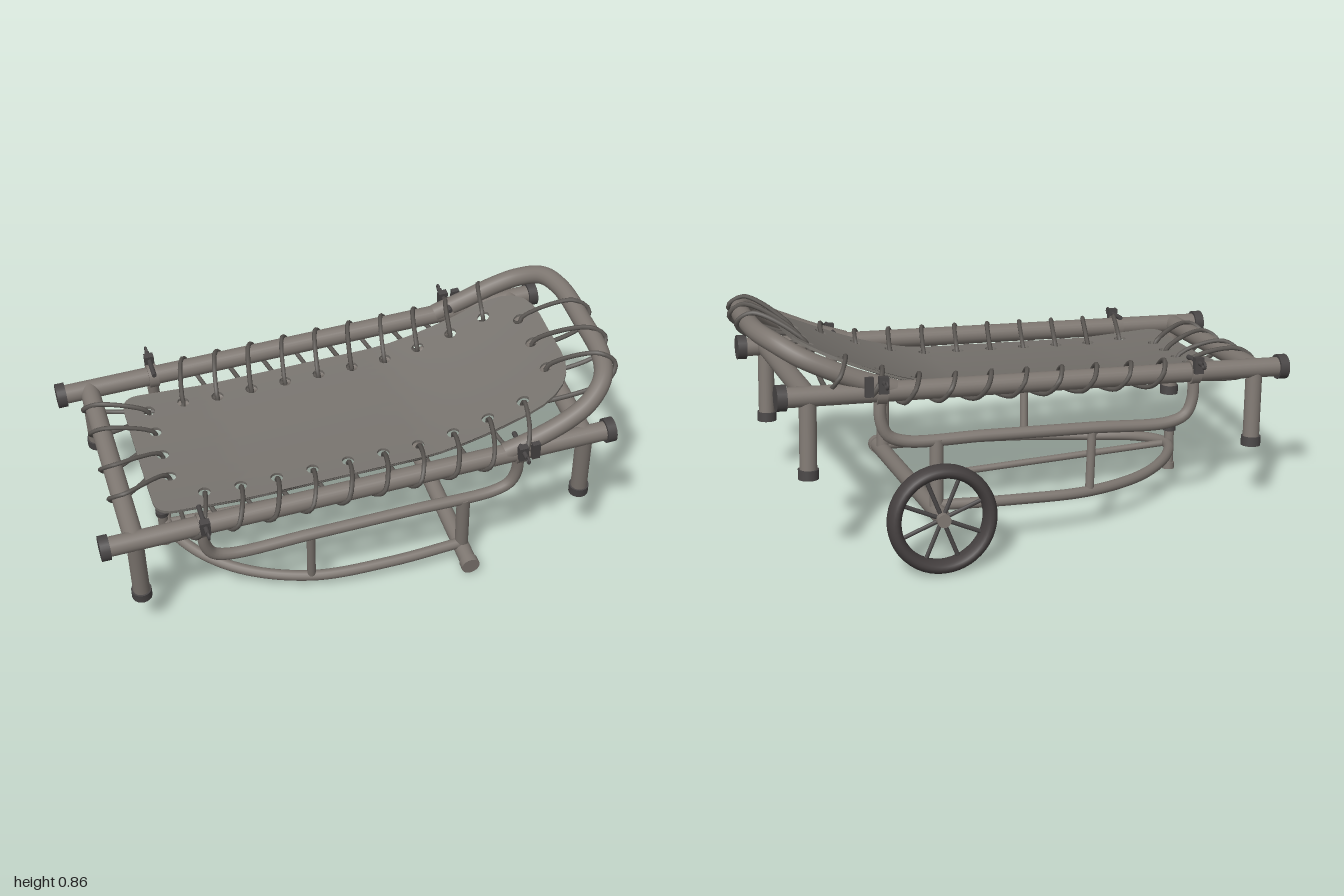
import * as THREE from 'three';

const V = (x, y, z) => new THREE.Vector3(x, y, z);
const material = (name, color) => Object.assign(new THREE.MeshStandardMaterial({ color }), { name });
const SIDE = 0.397, HANG = -0.185, FOOT = -0.835, HEAD = 0.848;

// height of the raised head-end tube and of the canvas along the bed
const armY = x => 0.187 * Math.pow(Math.max(0, (x - 0.5) / 0.48), 1.3);
const sheetY = (x, z) => -0.036 + 0.185 * Math.pow(Math.max(0, (x - 0.25) / 0.6), 1.6)
  + 0.025 * Math.max(0, (-0.4 - x) / 0.33) + 0.012 * (z / 0.3) ** 2;

// lacing stations in order round the canvas: hole, bar beside it, travel and outward directions
function lacingStations() {
  const list = [];
  const add = (x, z, bar, t, o) => list.push({ hole: V(x, sheetY(x, z), z), bar, t, o });
  const sideBar = (x, s) => x > 0.58 ? V(x, armY(x), 0.392 * s) : V(x, 0, SIDE * s);
  for (let k = 0; k < 10; k++) {
    const x = -0.51 + 0.1325 * k;
    add(x, -0.235, sideBar(x + 0.03, -1), V(1, 0, 0), V(0, 0, -1));
  }
  for (const [z, x, barZ] of [[-0.138, 0.985, -0.07], [-0.005, 0.985, 0.09], [0.14, 0.965, 0.23]]) {
    add(0.79, z, V(x, 0.187, barZ), V(0, 0, 1), V(1, 0, 0));
  }
  for (let k = 9; k >= 0; k--) {
    const x = -0.545 + 0.1345 * k;
    add(x, 0.235, sideBar(x - 0.03, 1), V(-1, 0, 0), V(0, 0, 1));
  }
  for (const [z, barZ] of [[0.125, 0.21], [0.01, 0.06], [-0.11, -0.13], [-0.22, -0.26]]) {
    add(-0.645, z, V(FOOT, 0, barZ), V(0, 0, -1), V(-1, 0, 0));
  }
  return list;
}

// split long triangle edges so a flat plate can be bent smoothly
function subdivide(geometry, max) {
  const p = geometry.attributes.position, out = [];
  const split = (a, b, c) => {
    const ab = a.distanceTo(b), bc = b.distanceTo(c), ca = c.distanceTo(a);
    const longest = Math.max(ab, bc, ca);
    if (longest <= max) out.push([a, b, c]);
    else if (ab === longest) {
      const mid = a.clone().add(b).multiplyScalar(0.5);
      split(a, mid, c);
      split(mid, b, c);
    } else if (bc === longest) split(b, c, a);
    else split(c, a, b);
  };
  const at = i => new THREE.Vector3().fromBufferAttribute(p, i);
  for (let i = 0; i < p.count; i += 3) split(at(i), at(i + 1), at(i + 2));
  return out;
}

function sheetGeometry(stations) {
  const x0 = -0.735, x1 = 0.86, w = 0.305, a = 0.07, b = 0.2, thick = 0.012;
  const shape = new THREE.Shape();
  shape.moveTo(x0 + a, -w);
  shape.lineTo(x1 - b, -w);
  shape.quadraticCurveTo(x1, -w, x1, -w + b);
  shape.lineTo(x1, w - b);
  shape.quadraticCurveTo(x1, w, x1 - b, w);
  shape.lineTo(x0 + a, w);
  shape.quadraticCurveTo(x0, w, x0, w - a);
  shape.lineTo(x0, -w + a);
  shape.quadraticCurveTo(x0, -w, x0 + a, -w);
  for (const { hole } of stations) {
    shape.holes.push(new THREE.Path().absarc(hole.x, -hole.z, 0.023, 0, Math.PI * 2, true));
  }
  const flat = new THREE.ExtrudeGeometry(shape, { depth: thick, bevelEnabled: false, curveSegments: 6 });
  flat.rotateX(-Math.PI / 2);
  // bend the plate; faces take the slope of the curve, rims keep their own normal
  const points = [], normals = [], e = 0.01;
  for (const tri of subdivide(flat, 0.09)) {
    const ys = tri.map(v => v.y);
    const rim = Math.max(...ys) - Math.min(...ys) > thick / 4;
    const rimNormal = new THREE.Triangle(...tri).getNormal(V(0, 0, 0));
    for (const { x, y, z } of tri) {
      points.push(V(x, y + sheetY(x, z) - thick / 2, z));
      const slope = V(sheetY(x - e, z) - sheetY(x + e, z), 2 * e, sheetY(x, z - e) - sheetY(x, z + e)).normalize();
      normals.push(...(rim ? rimNormal : slope.multiplyScalar(y > thick / 2 ? 1 : -1)));
    }
  }
  const g = new THREE.BufferGeometry().setFromPoints(points);
  return g.setAttribute('normal', new THREE.Float32BufferAttribute(normals, 3));
}

export function createModel() {
  const metal = material('tube metal', 0x7d7670);
  const canvas = material('canvas', 0x76726d);
  const cord = material('cord', 0x5b5753);
  const dark = material('dark caps', 0x484545);
  const rubber = material('tyre rubber', 0x443f3f);

  const model = new THREE.Group();
  model.name = 'stretcherCart';
  const body = new THREE.Group();
  body.name = 'tiltedCart';
  model.add(body);

  const add = (name, geometry, mat) => {
    const mesh = new THREE.Mesh(geometry, mat);
    mesh.name = name;
    body.add(mesh);
    return mesh;
  };
  const rod = (name, a, b, r, mat = metal, sides = 20) => {
    const d = b.clone().sub(a);
    const mesh = add(name, new THREE.CylinderGeometry(r, r, d.length(), sides), mat);
    mesh.position.copy(a).addScaledVector(d, 0.5);
    mesh.quaternion.setFromUnitVectors(V(0, 1, 0), d.normalize());
  };
  const tube = (name, pts, r, mat = metal, segments = 80, sides = 14, closed = false) =>
    add(name, new THREE.TubeGeometry(new THREE.CatmullRomCurve3(pts, closed), segments, r, sides, closed), mat);

  for (const s of [-1, 1]) {
    const z = SIDE * s;
    // long rails with end caps
    rod('sideRail', V(-0.94, 0, z), V(0.94, 0, z), 0.036);
    for (const e of [-1, 1]) {
      rod('railCap', V(0.925 * e, 0, z), V(0.96 * e, 0, z), 0.046, dark, 24);
      // legs with feet
      const legX = e < 0 ? FOOT : HEAD;
      rod('leg', V(legX, 0, z), V(legX, -0.28, z), 0.031);
      rod('legFoot', V(legX, -0.26, z), V(legX, -0.295, z), 0.037, dark);
      // clamps holding the hanging tube, with a cross bolt and eye
      const x = 0.59 * e;
      rod('clampRing', V(x - 0.018, 0, z), V(x + 0.018, 0, z), 0.044);
      rod('clampBolt', V(x, 0.045, z - 0.05 * s), V(x, 0.045, z + 0.085 * s), 0.009, dark, 10);
      const eye = add('boltEye', new THREE.TorusGeometry(0.011, 0.005, 8, 16), dark);
      eye.rotation.y = Math.PI / 2;
      eye.position.set(x, 0.045, z + 0.095 * s);
      const lug = add('clampLug', new THREE.BoxGeometry(0.035, 0.06, 0.025), dark);
      lug.position.set(x, 0.035, z + 0.045 * s);
    }
    // hanging tube below each rail
    tube('hangingTube', [V(-0.59, 0, z), V(-0.59, -0.1, z), V(-0.565, -0.158, z), V(-0.5, HANG, z),
      V(-0.2, HANG, z), V(0.2, HANG, z), V(0.5, HANG, z), V(0.565, -0.158, z), V(0.59, -0.1, z), V(0.59, 0, z)], 0.022);
    // posts down to the undercarriage
    rod('axlePost', V(0.386, HANG, z), V(0.386, -0.453, z), 0.025);
    rod('middlePost', V(-0.2, HANG, z), V(-0.2, -0.425, 0.385 * s), 0.016);
    // hinge of the head frame
    const hinge = add('headHinge', new THREE.BoxGeometry(0.03, 0.07, 0.02), dark);
    hinge.position.set(0.64, 0.03, z + 0.042 * s);
  }

  // crossbars
  for (const x of [FOOT, HEAD]) rod('crossbar', V(x, 0, -SIDE), V(x, 0, SIDE), 0.036);

  // raised head frame
  const arm = s => [[0.54, 0.395], [0.66, 0.395], [0.78, 0.388], [0.87, 0.363]]
    .map(([x, z]) => V(x, armY(x), z * s))
    .concat([V(0.943, 0.174, 0.302 * s), V(0.978, 0.187, 0.2 * s)]);
  tube('headFrame', [...arm(-1), V(0.985, 0.188, 0), ...arm(1).reverse()], 0.035, metal, 120, 18);

  // canvas and lacing cord
  const stations = lacingStations();
  add('canvasSheet', sheetGeometry(stations), canvas);
  const cordPath = [];
  for (const { hole, bar, t, o } of stations) {
    const wrap = (out, up, along) => bar.clone().addScaledVector(o, out).addScaledVector(t, along).add(V(0, up, 0));
    cordPath.push(hole.clone().add(V(0, -0.016, 0)), hole.clone().addScaledVector(o, 0.015).add(V(0, 0.016, 0)),
      wrap(-0.01, 0.045, 0), wrap(0.045, 0.005, 0.03), wrap(0, -0.046, 0.06));
  }
  tube('lacingCord', cordPath, 0.009, cord, stations.length * 26, 6, true);

  // bowed undercarriage loop with centre bar
  const bow = [[0.386, -0.43, 0.4], [0.1, -0.43, 0.41], [-0.2, -0.43, 0.385], [-0.45, -0.418, 0.28], [-0.6, -0.395, 0.145]];
  const half = s => bow.map(([x, y, z]) => V(x, y, z * s));
  tube('undercarriageLoop', [...half(-1), V(-0.66, -0.385, 0), ...half(1).reverse()], 0.02, metal, 100);
  rod('centreBar', V(-0.66, -0.385, 0), V(0.386, -0.453, 0), 0.013);

  // front stand
  rod('frontStand', V(-0.673, -0.48, 0), V(-0.673, -0.32, 0), 0.019);
  rod('standFoot', V(-0.673, -0.49, 0), V(-0.673, -0.465, 0), 0.024);
  rod('standCap', V(-0.673, -0.335, 0), V(-0.673, -0.315, 0), 0.025, dark);

  // axle
  rod('axle', V(0.386, -0.453, -0.47), V(0.386, -0.453, 0.5), 0.031);
  rod('axleCollar', V(0.386, -0.453, 0.475), V(0.386, -0.453, 0.505), 0.035);

  // single spoked wheel
  const hub = V(0.39, -0.452, -0.492);
  const tyre = add('tyre', new THREE.TorusGeometry(0.176, 0.025, 16, 48), rubber);
  tyre.scale.z = 1.7;
  tyre.position.copy(hub);
  rod('wheelHub', hub.clone().add(V(0, 0, -0.03)), hub.clone().add(V(0, 0, 0.03)), 0.025);
  for (let i = 0; i < 8; i++) {
    const a = (i + 0.5) * Math.PI / 4;
    rod('spoke', hub, hub.clone().add(V(Math.cos(a) * 0.165, Math.sin(a) * 0.165, 0)), 0.008, dark, 8);
  }

  // the cart leans over onto its missing-wheel side
  const X = V(0.9975, 0.0633, 0.0264).normalize();
  const Y = V(0, -0.151, 0.988).cross(X).normalize();
  const Z = X.clone().cross(Y);
  body.quaternion.setFromRotationMatrix(new THREE.Matrix4().makeBasis(X, Y, Z));
  body.position.set(-0.035, 0.551, 0.0625);
  return model;
}
